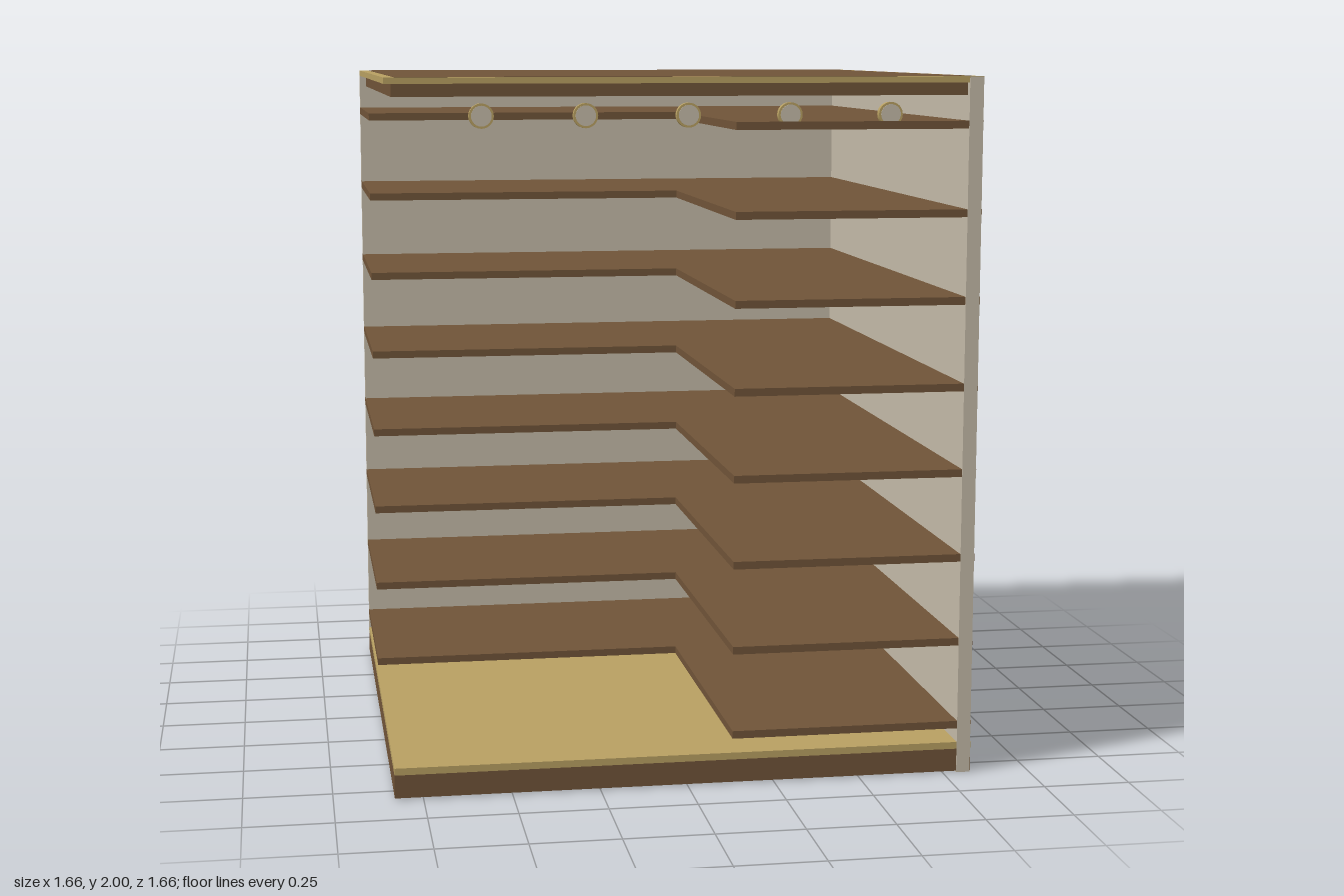
import * as THREE from 'three';

const wood = new THREE.MeshStandardMaterial({ color: 0x705438 });
wood.name = 'brown wood';
const trim = new THREE.MeshStandardMaterial({ color: 0xb8a062 });
trim.name = 'pale gold';
const plaster = new THREE.MeshStandardMaterial({ color: 0xc4baa8 });
plaster.name = 'warm grey';

const E = 0.83;       // outer half width
const I = 0.79;       // inner face of the walls
const POKE = 0.8315;  // slabs show just through the outer wall faces

// Box given by its limits on each axis
function box(parent, name, mat, x0, x1, y0, y1, z0, z1) {
  const mesh = new THREE.Mesh(new THREE.BoxGeometry(x1 - x0, y1 - y0, z1 - z0), mat);
  mesh.position.set((x0 + x1) / 2, (y0 + y1) / 2, (z0 + z1) / 2);
  mesh.name = name;
  parent.add(mesh);
  return mesh;
}

// Two overlapping boards, one let into the right wall and one into the back wall
function slab(parent, name, mat, y0, y1, sideX, backZ) {
  const g = new THREE.Group();
  g.name = name;
  box(g, name + 'Side', mat, sideX, POKE, y0, y1, -I, E);
  box(g, name + 'Back', mat, -E, I, y0, y1, -POKE, backZ);
  parent.add(g);
}

export function createModel() {
  const model = new THREE.Group();
  model.name = 'shelvedDisplay';

  // Walls
  box(model, 'rightWall', plaster, I, E, 0, 1.998, -I, 0.832);
  box(model, 'backWall', plaster, -E, 0.832, 0, 1.998, -E, -I);

  // Base and floor
  slab(model, 'base', wood, 0.004, 0.07, -E, E);
  slab(model, 'floor', trim, 0.07, 0.09, -E, E);

  // Corner shelves
  for (let i = 0; i < 8; i++) {
    const y = 0.142 + i * 0.2462;
    slab(model, 'shelf', wood, y - 0.011, y + 0.011, 0.13, -0.13);
  }

  // Roof: gold slab with wooden panels above and below
  slab(model, 'roofSlab', trim, 1.982, 1.999, -E, E);
  box(model, 'roofCorner', trim, I, E, 1.982, 1.999, -E, -I);
  box(model, 'roofPanel', wood, -0.8, 0.8, 1.998, 2.0, -0.81, 0.81);
  box(model, 'ceilingPanel', wood, -0.81, I, 1.947, 1.982, -I, 0.81);

  // Row of round lamps under the front edge
  for (let i = -2; i <= 2; i++) {
    const lamp = new THREE.Group();
    lamp.name = 'lamp';
    const rim = new THREE.Mesh(new THREE.CylinderGeometry(0.034, 0.034, 0.02, 24), trim);
    rim.name = 'lampRim';
    rim.rotation.x = Math.PI / 2;
    lamp.add(rim);
    const face = new THREE.Mesh(new THREE.CylinderGeometry(0.028, 0.028, 0.024, 24), plaster);
    face.name = 'lampFace';
    face.rotation.x = Math.PI / 2;
    lamp.add(face);
    lamp.position.set(i * 0.284, 1.895, 0.81);
    model.add(lamp);
  }

  return model;
}
